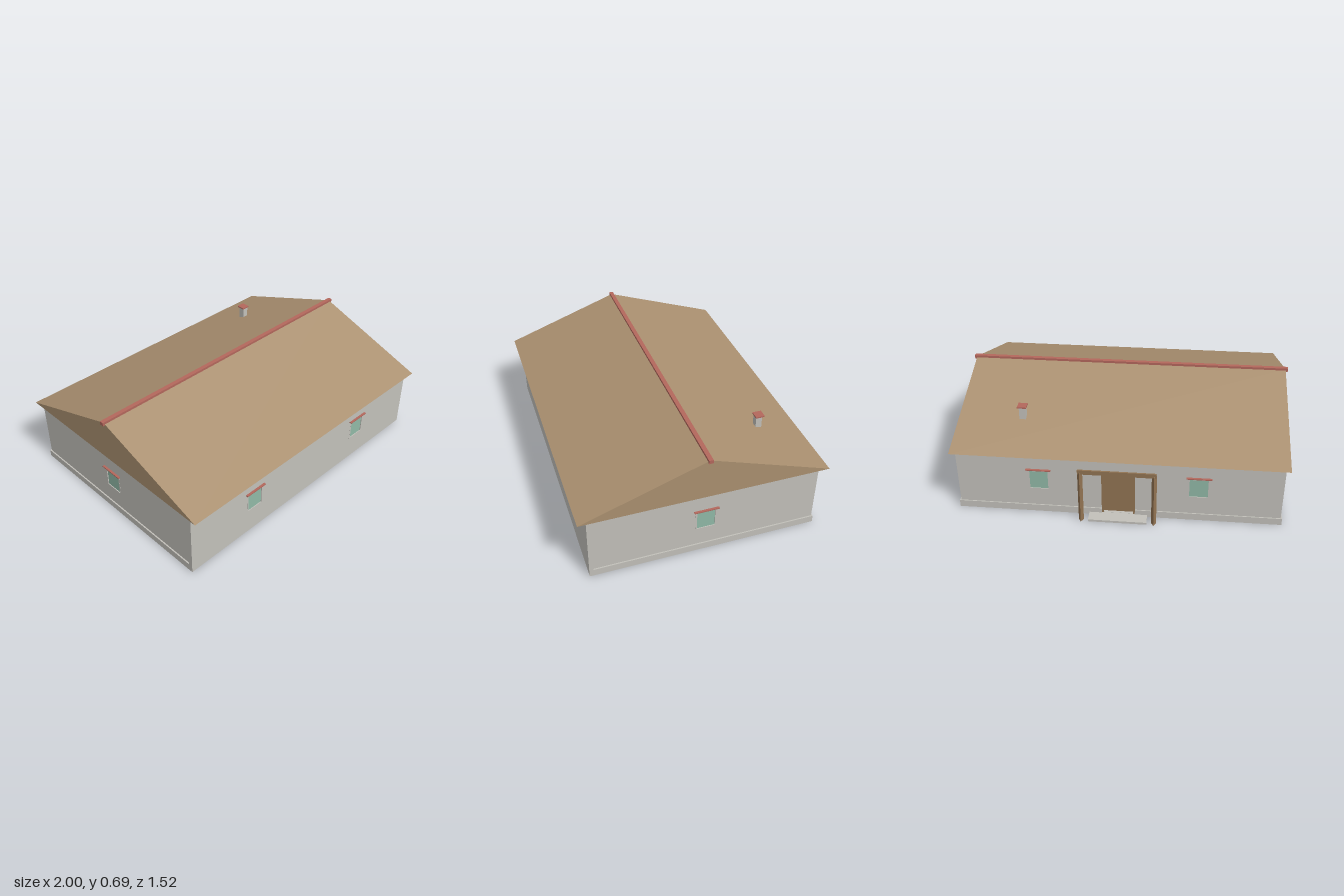
import * as THREE from 'three';

const mat = (name, color) => Object.assign(new THREE.MeshStandardMaterial({ color }), { name });
const M = {
  plaster: mat('plaster', 0xc2c0ba),
  roof: mat('roof tan', 0xaa9070),
  wood: mat('wood brown', 0x917352),
  red: mat('tile red', 0xb3675c),
  glass: mat('green glass', 0x90b8a6),
};

export function createModel() {
  const house = new THREE.Group();
  house.name = 'house';

  const add = (parent, name, geo, material) => {
    const m = new THREE.Mesh(geo, material);
    m.name = name;
    parent.add(m);
    return m;
  };
  // box given by its minimum and maximum corners
  const box = (parent, name, material, a, b) => {
    const m = add(parent, name, new THREE.BoxGeometry(b[0] - a[0], b[1] - a[1], b[2] - a[2]), material);
    m.position.set((a[0] + b[0]) / 2, (a[1] + b[1]) / 2, (a[2] + b[2]) / 2);
    return m;
  };
  const rect = (path, x0, y0, x1, y1) => {
    path.moveTo(x0, y0);
    path.lineTo(x1, y0);
    path.lineTo(x1, y1);
    path.lineTo(x0, y1);
    path.closePath();
    return path;
  };

  const T = 0.025, WIN_W = 0.128, WIN_Y0 = 0.157, WIN_Y1 = 0.297;

  // window: frame, recessed pane and a red hood over the opening
  const addWindow = (wall, u) => {
    const g = new THREE.Group();
    g.name = 'window';
    g.position.x = u;
    wall.add(g);
    const h = WIN_W / 2, f = 0.009;
    const frame = rect(new THREE.Shape(), -h, WIN_Y0, h, WIN_Y1);
    frame.holes.push(rect(new THREE.Path(), -h + f, WIN_Y0 + f, h - f, WIN_Y1 - f));
    const geo = new THREE.ExtrudeGeometry(frame, { depth: 0.012, bevelEnabled: false });
    geo.translate(0, 0, -0.011);
    add(g, 'windowFrame', geo, M.plaster);
    box(g, 'windowPane', M.glass, [-h + f, WIN_Y0 + f, -0.012], [h - f, WIN_Y1 - f, -0.004]);
    box(g, 'windowHood', M.red, [-0.075, 0.299, -0.005], [0.075, 0.305, 0.014]);
  };

  // wall panel with its outer face at local z = 0
  const addWall = (name, width, pos, turn, windows, door) => {
    const g = new THREE.Group();
    g.name = name;
    g.position.set(...pos);
    g.rotation.y = turn;
    house.add(g);
    const shape = rect(new THREE.Shape(), -width / 2, 0.005, width / 2, 0.425);
    for (const u of windows) {
      shape.holes.push(rect(new THREE.Path(), u - WIN_W / 2, WIN_Y0, u + WIN_W / 2, WIN_Y1));
      addWindow(g, u);
    }
    if (door) shape.holes.push(rect(new THREE.Path(), -0.1, 0.015, 0.1, 0.305));
    const geo = new THREE.ExtrudeGeometry(shape, { depth: T, bevelEnabled: false });
    geo.translate(0, 0, -T);
    add(g, name + 'Panel', geo, M.plaster);
    return g;
  };

  addWall('frontWall', 1.95, [0, 0, 0.71], 0, [-0.477, 0.47]);
  addWall('leftWall', 1.36, [0.967, 0, 0.005], Math.PI / 2, [-0.01]);
  addWall('rightWall', 1.36, [-0.967, 0, 0.005], -Math.PI / 2, [0.01]);
  const back = addWall('backWall', 1.934, [0, 0, -0.675], Math.PI, [-0.475, 0.475], true);

  // door set back in its opening
  box(back, 'doorLeaf', M.wood, [-0.1, 0.015, -0.024], [0.1, 0.305, -0.016]);
  for (const s of [-1, 1])
    box(back, 'doorJamb', M.wood, [s * 0.094 - 0.006, 0.015, -0.02], [s * 0.094 + 0.006, 0.305, 0.003]);
  box(back, 'doorHead', M.wood, [-0.1, 0.294, -0.02], [0.1, 0.305, 0.003]);

  // plinth around three sides, open at the door
  for (const s of [-1, 1]) {
    box(house, 'sidePlinth', M.plaster, [s * 0.96 - 0.015, 0, -0.682], [s * 0.96 + 0.015, 0.045, 0.7]);
    const x = s * 0.5375;
    box(house, 'backPlinth', M.plaster, [x - 0.4375, 0, -0.682], [x + 0.4375, 0.045, -0.652]);
  }
  box(house, 'frontPlinth', M.plaster, [-0.974, 0, 0.68], [0.974, 0.045, 0.709]);
  box(house, 'floor', M.roof, [-0.946, 0, -0.653], [0.946, 0.015, 0.681]);

  // gabled roof as one prism along x
  const gable = new THREE.Shape();
  gable.moveTo(-0.733, 0.419);
  gable.lineTo(0.76, 0.419);
  gable.lineTo(0.015, 0.68);
  gable.closePath();
  const roofGeo = new THREE.ExtrudeGeometry(gable, { depth: 1.974, bevelEnabled: false });
  roofGeo.rotateY(-Math.PI / 2);
  roofGeo.translate(0.987, 0, 0);
  add(house, 'roof', roofGeo, M.roof);
  box(house, 'ridgeCap', M.red, [-1, 0.668, 0.003], [1, 0.69, 0.029]);

  // chimney
  box(house, 'chimney', M.plaster, [0.578, 0.48, -0.462], [0.617, 0.594, -0.424]);
  box(house, 'chimneyCap', M.red, [0.57, 0.594, -0.474], [0.625, 0.602, -0.419]);

  // porch at the back: step, two three-sided posts and a beam
  box(house, 'porchStep', M.plaster, [-0.175, 0, -0.755], [0.175, 0.014, -0.675]);
  for (const s of [-1, 1]) {
    const geo = new THREE.CylinderGeometry(0.0175, 0.0175, 0.352, 3).toNonIndexed();
    geo.rotateY(Math.PI);
    geo.computeVertexNormals();
    add(house, 'porchPost', geo, M.wood).position.set(s * 0.217, 0.176, -0.744);
  }
  box(house, 'porchBeam', M.wood, [-0.23, 0.34, -0.753], [0.23, 0.368, -0.743]);

  return house;
}
